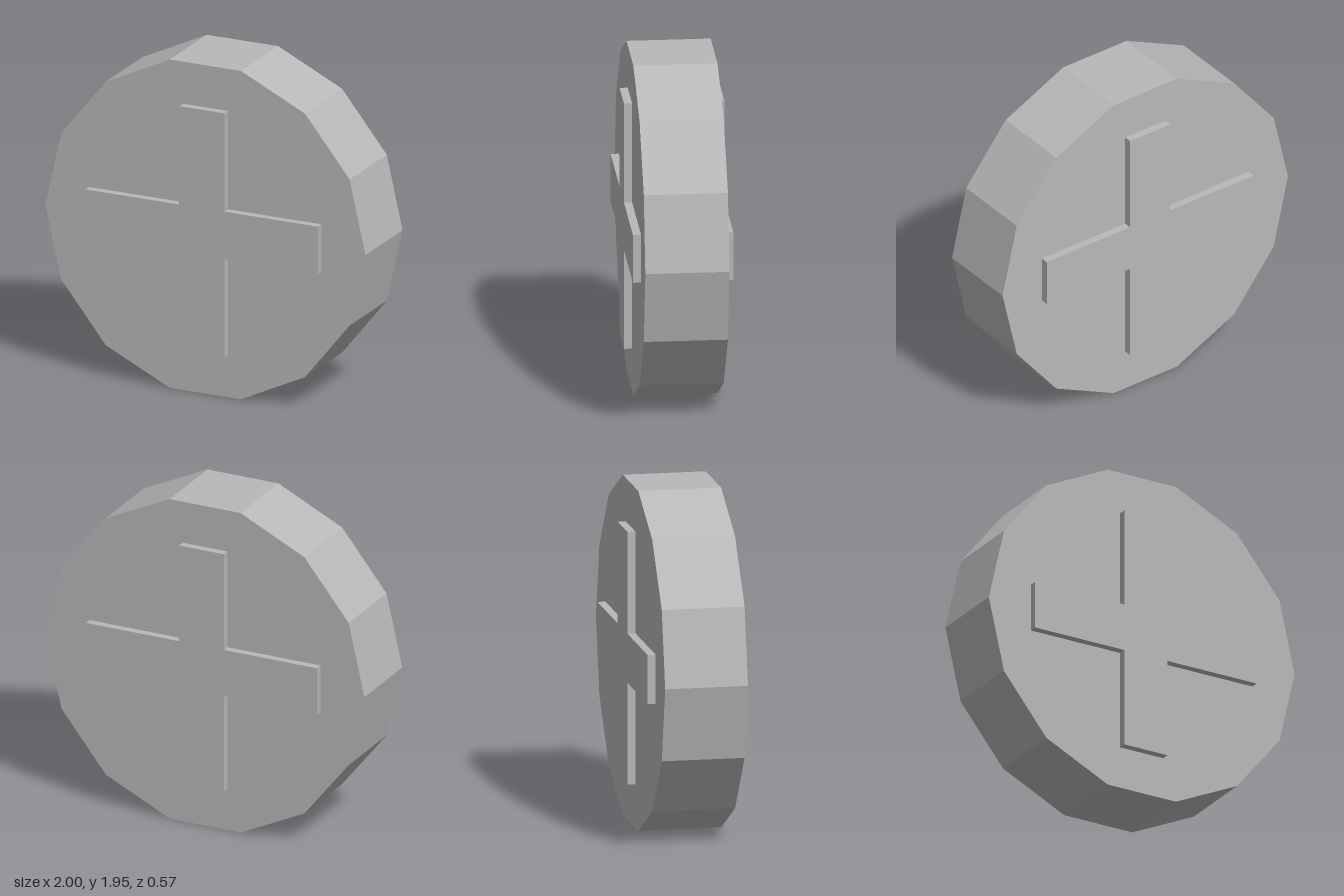
import * as THREE from 'three';

const SIDES = 14;
const CENTER_Y = Math.cos(Math.PI / SIDES); // disc rests on a flat facet
const HALF_DEPTH = 0.237;
const RAISE = 0.046;

// Plus-shaped outline with arm length a and half-width w
function crossShape(a, w) {
  return new THREE.Shape([
    [w, w], [w, a], [-w, a], [-w, w], [-a, w], [-a, -w],
    [-w, -w], [-w, -a], [w, -a], [w, -w], [a, -w], [a, w],
  ].map(([x, y]) => new THREE.Vector2(x, y)));
}

export function createModel() {
  const group = new THREE.Group();
  group.name = 'crossDisc';

  const grey = new THREE.MeshStandardMaterial({ color: 0xb8b8b8, flatShading: true });
  grey.name = 'grey';

  // Faceted disc, corners pointing left and right
  const discGeometry = new THREE.CylinderGeometry(1, 1, HALF_DEPTH * 2, SIDES);
  discGeometry.rotateY(Math.PI / 2).rotateX(Math.PI / 2);
  const disc = new THREE.Mesh(discGeometry, grey);
  disc.name = 'disc';
  disc.position.y = CENTER_Y;
  group.add(disc);

  // Raised cross on each face
  const crossGeometry = new THREE.ExtrudeGeometry(crossShape(0.725, 0.141), {
    depth: RAISE, bevelEnabled: false,
  });
  for (const [name, side] of [['frontCross', 1], ['backCross', -1]]) {
    const cross = new THREE.Mesh(crossGeometry, grey);
    cross.name = name;
    cross.position.set(0, CENTER_Y, side * HALF_DEPTH);
    if (side < 0) cross.rotation.y = Math.PI;
    group.add(cross);
  }

  return group;
}
